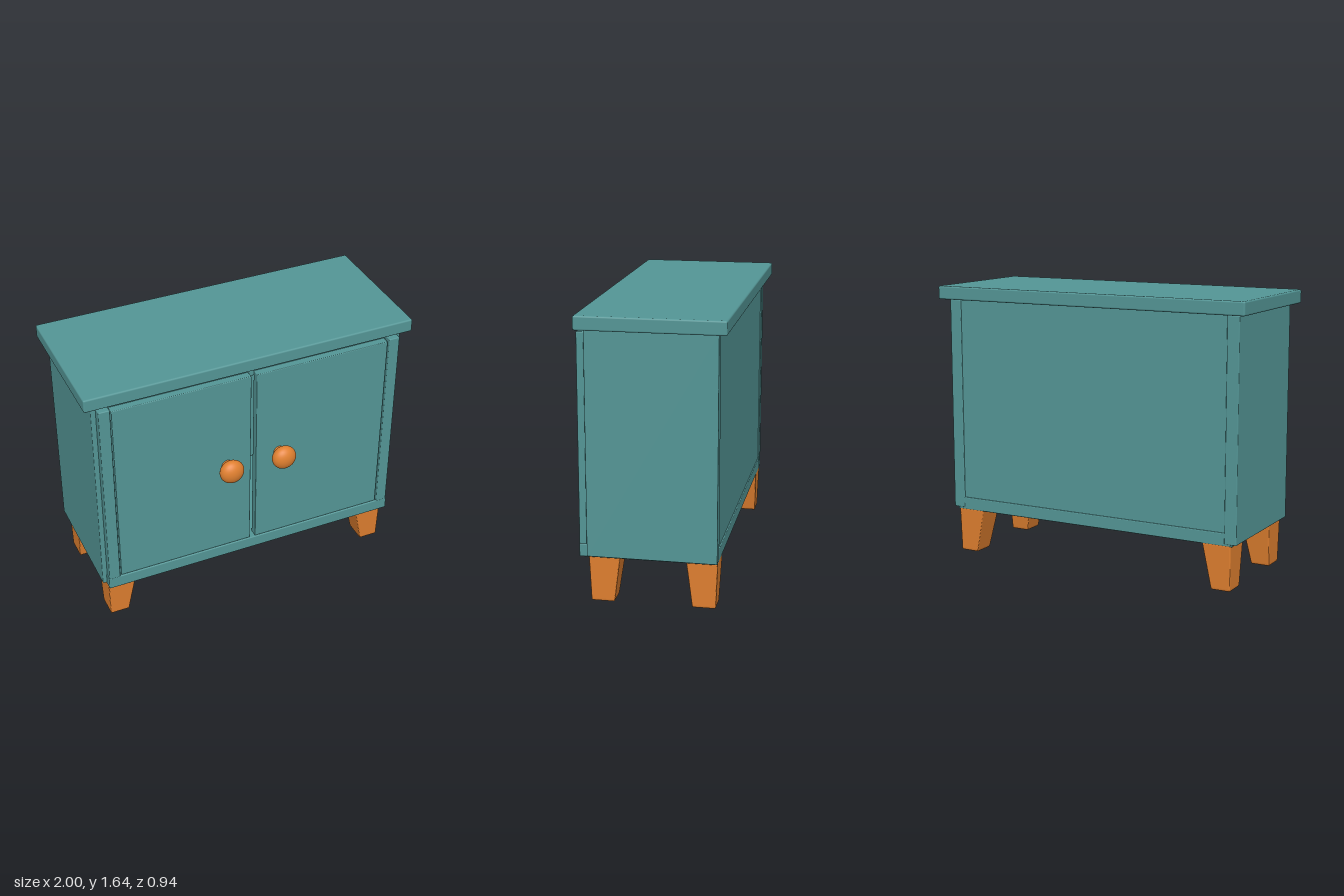
import * as THREE from 'three';
import { RoundedBoxGeometry } from 'three/addons/geometries/RoundedBoxGeometry.js';

const teal = new THREE.MeshStandardMaterial({ color: 0x549696 });
const orange = new THREE.MeshStandardMaterial({ color: 0xe08030 });

// Softly bevelled board given by its extents
function board(name, [x0, x1], [y0, y1], [z0, z1], bevel = 0.006) {
  const mesh = new THREE.Mesh(new RoundedBoxGeometry(x1 - x0, y1 - y0, z1 - z0, 2, bevel), teal);
  mesh.position.set((x0 + x1) / 2, (y0 + y1) / 2, (z0 + z1) / 2);
  mesh.name = name;
  return mesh;
}

// Tapered foot: a bevelled unit box whose corners are blended between a bottom and a top rectangle
function leg(name, top, bottom, height) {
  const geo = new RoundedBoxGeometry(1, 1, 1, 2, 0.05).toNonIndexed();
  const p = geo.attributes.position;
  const mix = THREE.MathUtils.lerp;
  for (let i = 0; i < p.count; i++) {
    const u = p.getX(i) + 0.5, t = p.getY(i) + 0.5, w = p.getZ(i) + 0.5;
    p.setXYZ(i,
      mix(mix(bottom.x[0], top.x[0], t), mix(bottom.x[1], top.x[1], t), u),
      t * height,
      mix(mix(bottom.z[0], top.z[0], t), mix(bottom.z[1], top.z[1], t), w));
  }
  geo.computeVertexNormals();
  const mesh = new THREE.Mesh(geo, orange);
  mesh.name = name;
  return mesh;
}

// Flattened ball on a short stem
function knob(name, x) {
  const group = new THREE.Group();
  group.name = name;
  const ball = new THREE.Mesh(new THREE.SphereGeometry(0.074, 32, 20), orange);
  ball.name = 'knobBall';
  ball.scale.z = 0.7;
  ball.position.z = 0.42;
  const stem = new THREE.Mesh(new THREE.CylinderGeometry(0.036, 0.036, 0.045, 24), orange);
  stem.name = 'knobStem';
  stem.rotation.x = Math.PI / 2;
  stem.position.z = 0.3725;
  group.add(ball, stem);
  group.position.set(x, 0.946, 0);
  return group;
}

export function createModel() {
  const model = new THREE.Group();
  model.name = 'cabinet';

  // Carcass
  model.add(
    board('top', [-1, 1], [1.56, 1.64], [-0.47, 0.358], 0.01),
    board('topRail', [-0.88, 0.88], [1.49, 1.565], [-0.4, 0.305]),
    board('floor', [-0.925, 0.925], [0.264, 0.34], [-0.418, 0.31]),
    board('bottomRail', [-0.926, 0.926], [0.264, 0.34], [0.29, 0.36]),
    board('backPanel', [-0.885, 0.885], [0.33, 1.56], [-0.412, -0.38])
  );

  // Paired parts, mirrored across x
  for (const s of [-1, 1]) {
    const side = s > 0 ? 'left' : 'right';
    const span = (a, b) => (s > 0 ? [a, b] : [-b, -a]);
    model.add(
      board(side + 'Side', span(0.875, 0.95), [0.275, 1.557], [-0.42, 0.312]),
      board(side + 'Stile', span(0.855, 0.922), [0.335, 1.54], [0.3, 0.36]),
      board(side + 'Door', span(0.017, 0.847), [0.342, 1.525], [0.305, 0.355], 0.005),
      knob(side + 'Knob', s * 0.166),
      leg(side + 'FrontLeg',
        { x: span(0.737, 0.915), z: [0.13, 0.31] },
        { x: span(0.793, 0.91), z: [0.165, 0.298] }, 0.275),
      leg(side + 'BackLeg',
        { x: span(0.737, 0.915), z: [-0.418, -0.24] },
        { x: span(0.793, 0.91), z: [-0.408, -0.275] }, 0.275)
    );
  }
  return model;
}
